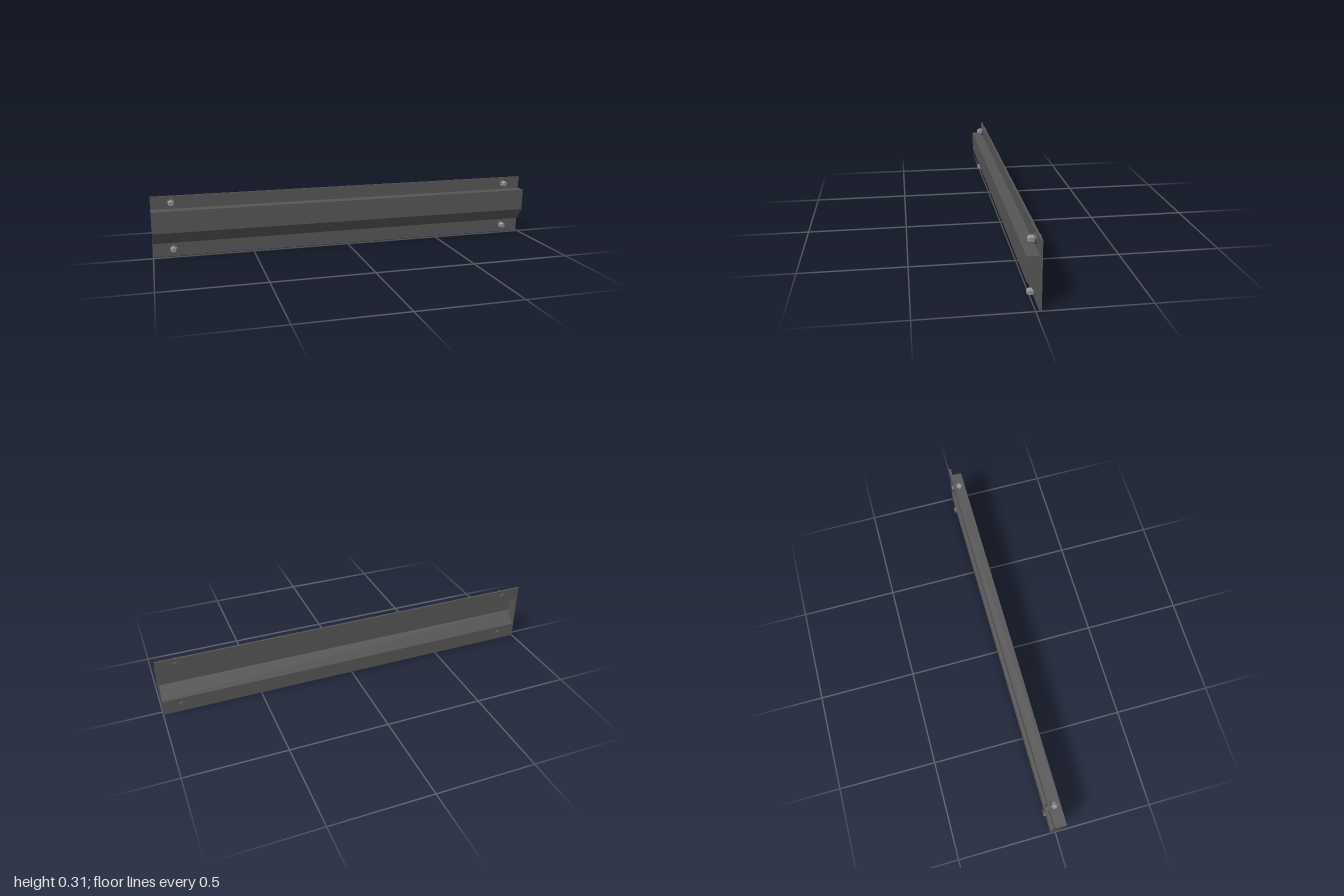
import * as THREE from 'three';

const steel = new THREE.MeshStandardMaterial({ color: 0x565656 });
steel.name = 'dark steel';
const zinc = new THREE.MeshStandardMaterial({ color: 0x8c8c8c });
zinc.name = 'light zinc';

// Extrudes a (z, y) outline along x, starting at x0 and running towards -x
function extrudeAlongX(points, length, x0) {
  const shape = new THREE.Shape(points.map(([z, y]) => new THREE.Vector2(z, y)));
  const geometry = new THREE.ExtrudeGeometry(shape, { depth: length, bevelEnabled: false });
  return geometry.rotateY(-Math.PI / 2).translate(x0, 0, 0);
}

// Faceted turned part: profile of [radius, z], facing +z
function turned(profile, sides) {
  const points = profile.map(([r, z]) => new THREE.Vector2(r, z));
  const geometry = new THREE.LatheGeometry(points, sides).rotateX(Math.PI / 2).toNonIndexed();
  geometry.computeVertexNormals();
  return geometry;
}

function add(parent, name, geometry, material) {
  const mesh = new THREE.Mesh(geometry, material);
  mesh.name = name;
  parent.add(mesh);
}

export function createModel() {
  const model = new THREE.Group();
  model.name = 'mountingRail';

  // Folded sheet: two flat flanges and a hollow channel open at the back
  add(model, 'foldedSheet', extrudeAlongX([
    [-0.025, 0], [-0.015, 0], [-0.015, 0.073], [-0.007, 0.073],
    [0.04, 0.135], [0.04, 0.245], [-0.015, 0.245], [-0.015, 0.31],
    [-0.025, 0.31], [-0.025, 0.241], [0.036, 0.241], [0.036, 0.137],
    [-0.009, 0.077], [-0.025, 0.077],
  ], 2, 1), steel);

  // Thin plates closing the channel ends
  const capOutline = [
    [-0.025, 0.073], [-0.007, 0.073], [0.04, 0.135], [0.04, 0.245], [-0.025, 0.245],
  ];
  add(model, 'leftEndCap', extrudeAlongX(capOutline, 0.004, 1), steel);
  add(model, 'rightEndCap', extrudeAlongX(capOutline, 0.004, -0.996), steel);

  // Bolts through the four corners
  const washer = turned([[0, -0.015], [0.023, -0.015], [0.023, -0.007], [0, -0.007]], 16);
  const nut = turned([[0, -0.007], [0.0175, -0.007], [0.0175, 0.012], [0.012, 0.02], [0, 0.02]], 6);
  const head = turned([[0, -0.037], [0.018, -0.037], [0.018, -0.025], [0, -0.025]], 6);
  for (const x of [-0.9, 0.9]) {
    for (const y of [0.041, 0.277]) {
      const bolt = new THREE.Group();
      bolt.name = 'bolt';
      bolt.position.set(x, y, 0);
      add(bolt, 'washer', washer, steel);
      add(bolt, 'nut', nut, zinc);
      add(bolt, 'boltHead', head, steel);
      model.add(bolt);
    }
  }
  return model;
}
